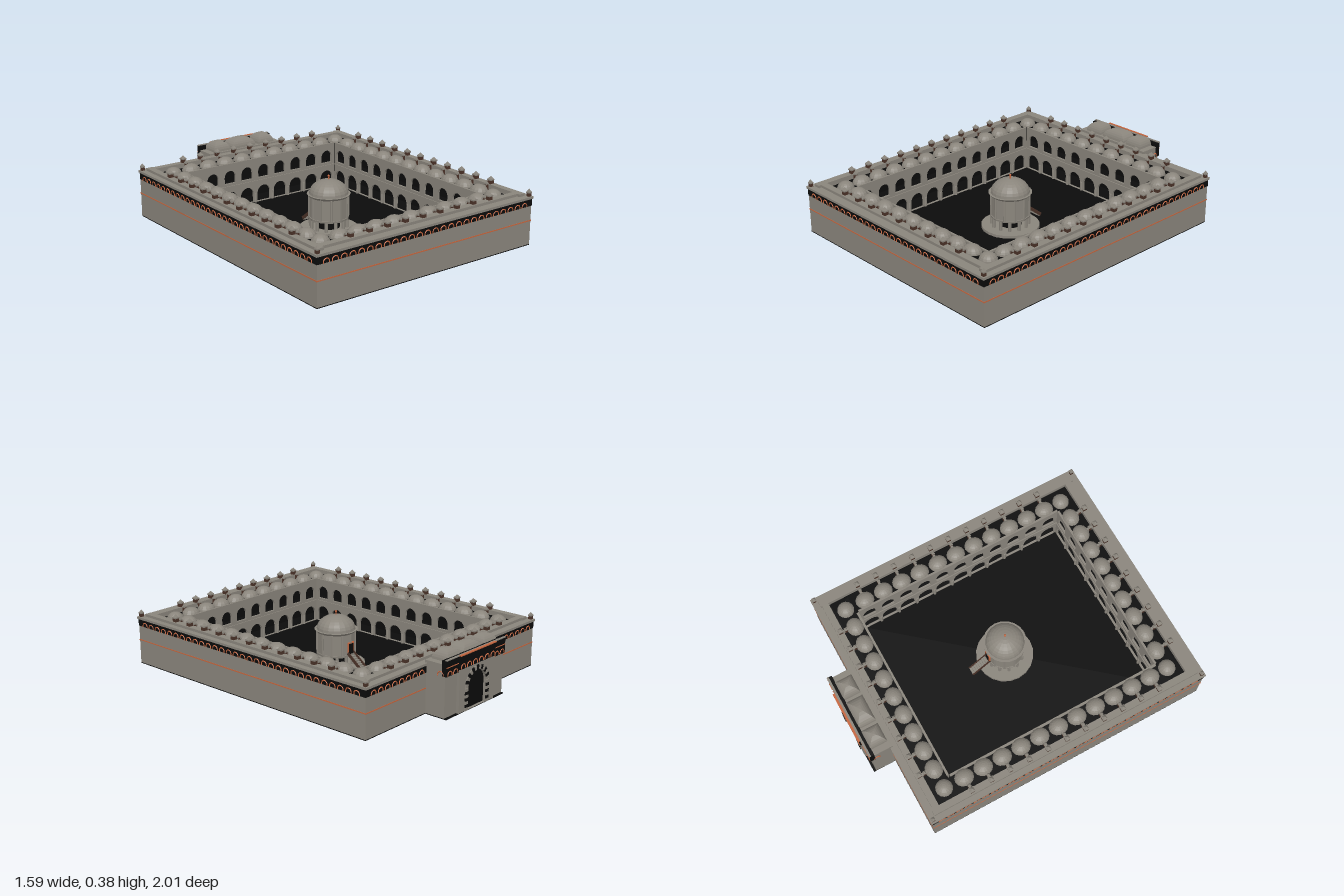
import * as THREE from 'three';

const mat = (name, color) => {
  const m = new THREE.MeshStandardMaterial({ color, flatShading: true });
  m.name = name;
  return m;
};

export function createModel() {
  const stone = mat('greyStone', 0x8a857c);
  const black = mat('blackStone', 0x0b0b0b);
  const brick = mat('orangeBrick', 0xc4663f);
  const brown = mat('darkBrown', 0x4a3228);

  const root = new THREE.Group();
  root.name = 'courtyardBuilding';
  const CZ = 0.08; // centre of the cloister in z

  const add = (parent, name, geo, material, x = 0, y = 0, z = 0) => {
    const m = new THREE.Mesh(geo, material);
    m.name = name;
    m.position.set(x, y, z);
    parent.add(m);
    return m;
  };
  // Box given by its ranges
  const box = (parent, name, material, x0, x1, y0, y1, z0, z1) =>
    add(parent, name, new THREE.BoxGeometry(x1 - x0, y1 - y0, z1 - z0), material,
      (x0 + x1) / 2, (y0 + y1) / 2, (z0 + z1) / 2);
  const group = (parent, name, x = 0, y = 0, z = 0, ry = 0) => {
    const g = new THREE.Group();
    g.name = name;
    g.position.set(x, y, z);
    g.rotation.y = ry;
    parent.add(g);
    return g;
  };
  // Round-headed outline, for openings and frames
  const archPath = (C, cx, w, y0, spring) => {
    const p = new C();
    p.moveTo(cx - w, y0);
    p.lineTo(cx + w, y0);
    p.lineTo(cx + w, spring);
    p.absarc(cx, spring, w, 0, Math.PI, false);
    p.lineTo(cx - w, y0);
    return p;
  };
  const extrude = (shape, depth) =>
    new THREE.ExtrudeGeometry(shape, { depth, bevelEnabled: false, curveSegments: 8 });

  const domeGeo = new THREE.SphereGeometry(1, 14, 6, 0, Math.PI * 2, 0, Math.PI / 2);
  const corbelGeo = new THREE.TorusGeometry(0.02, 0.0035, 4, 10, Math.PI * 1.2);
  corbelGeo.rotateZ(-Math.PI * 0.1);
  const capGeo = new THREE.ConeGeometry(1, 1, 4);
  capGeo.rotateY(Math.PI / 4);

  // Small lantern turret: dark shaft, stone slab and pointed cap
  const turret = (parent, x, z, base, top, w) => {
    const g = group(parent, 'turret', x, 0, z);
    box(g, 'turretShaft', brown, -w * 0.42, w * 0.42, base, top - 0.026, -w * 0.42, w * 0.42);
    box(g, 'turretSlab', stone, -w / 2, w / 2, top - 0.026, top - 0.018, -w / 2, w / 2);
    add(g, 'turretCap', capGeo, stone, 0, top - 0.009, 0).scale.set(w * 0.6, 0.018, w * 0.6);
  };

  // Ground slab
  box(root, 'floor', black, -0.785, 0.785, 0, 0.005, -0.84, 1);
  box(root, 'gateFloor', black, -0.275, 0.275, 0, 0.005, -0.985, -0.84);

  // One wing of the cloister; outside faces local +z
  const wing = (name, angle, half, dist, inHalf, inDist, bays, count, pitch, domeD, e, arches) => {
    const g = group(root, name, 0, 0, CZ, angle);
    const inner = dist - 0.07 - e;
    box(g, 'outerWall', stone, -half, half, 0.005, 0.288, inner, dist);
    box(g, 'frieze', black, -half - 0.002, half + 0.002, 0.244, 0.288, dist - 0.01, dist + 0.002);
    box(g, 'brickStripe', brick, -half - 0.002, half + 0.002, 0.15, 0.157, dist - 0.01, dist + 0.002);
    box(g, 'cornice', stone, -half - 0.008, half + 0.008, 0.288, 0.302, inner, dist + 0.008);
    box(g, 'parapet', stone, -half + 0.03, half - 0.03, 0.302, 0.318, inner, inner + 0.042);
    box(g, 'galleryBackWall', black, 0.07 - half, half - 0.07, 0.005, 0.28, inner - 0.004, inner);
    box(g, 'galleryFloor', black, -inHalf - 0.12, inHalf + 0.12, 0.128, 0.135, inDist + 0.012, inner);
    box(g, 'galleryRoof', black, -inHalf - 0.13, inHalf + 0.13, 0.28, 0.288, inDist + 0.012, inner);

    // Corbel arches of the frieze
    for (let i = 0; i < arches; i++) {
      const x = -half + 0.06 + i * (2 * half - 0.12) / (arches - 1);
      if (name === 'backWing' && Math.abs(x) < 0.29) continue;
      add(g, 'corbelArch', corbelGeo, brick, x, 0.25, dist + 0.003);
    }

    // Two-storey arcade towards the courtyard
    const wall = new THREE.Shape();
    wall.moveTo(-inHalf, 0.005);
    wall.lineTo(inHalf, 0.005);
    wall.lineTo(inHalf, 0.3);
    wall.lineTo(-inHalf, 0.3);
    const bay = 2 * inHalf / bays;
    for (let i = 0; i < bays; i++) {
      const cx = -inHalf + (i + 0.5) * bay;
      wall.holes.push(archPath(THREE.Path, cx, 0.05, 0.008, 0.062));
      wall.holes.push(archPath(THREE.Path, cx, 0.042, 0.168, 0.21));
    }
    add(g, 'arcade', extrude(wall, 0.014), stone, 0, 0, inDist);
    box(g, 'balconyLedge', stone, -inHalf, inHalf, 0.146, 0.152, inDist - 0.006, inDist);
    for (let i = 1; i < bays; i++)
      add(g, 'arcadeColumn', new THREE.CylinderGeometry(0.008, 0.01, 0.058, 6), stone,
        -inHalf + i * bay, 0.034, inDist);

    // Roof domes, turrets and their links to the parapet
    const corner = e > 0 ? 0 : -1;
    for (let k = -count; k <= count; k++) {
      const x = k * pitch;
      const isCorner = e > 0 && Math.abs(k) === count;
      add(g, 'roofDome', domeGeo, stone, x, 0.286, domeD).scale.set(isCorner ? 0.053 : 0.06, 0.046, 0.053);
      if (Math.abs(k) > count - 1 - corner) continue;
      if (isCorner) continue;
      turret(g, x, inner + 0.018, 0.31, 0.365, 0.032);
      turret(g, x, inner - 0.016, 0.288, 0.345, 0.02);
      box(g, 'turretLink', stone, x - 0.007, x + 0.007, 0.288, 0.314, inner - 0.04, inner);
    }
    // Corner turret
    turret(g, -half + 0.012, dist - 0.012, 0.3, 0.348, 0.024);
  };
  wing('frontWing', 0, 0.785, 0.92, 0.58, 0.697, 9, 5, 0.127, 0.752, 0.02, 26);
  wing('backWing', Math.PI, 0.785, 0.92, 0.58, 0.703, 9, 5, 0.127, 0.764, 0.01, 26);
  wing('leftWing', Math.PI / 2, 0.92, 0.785, 0.7, 0.58, 11, 5, 0.1265, 0.636, 0, 31);
  wing('rightWing', -Math.PI / 2, 0.92, 0.785, 0.7, 0.58, 11, 5, 0.1265, 0.636, 0, 31);

  // Gatehouse at the back; its outside faces local +z
  const gate = group(root, 'gatehouse', 0, 0, 0, Math.PI);
  box(gate, 'gateBody', stone, -0.275, 0.275, 0.005, 0.318, 0.83, 0.97);
  box(gate, 'gateRoof', black, -0.265, 0.265, 0.318, 0.322, 0.95, 0.972);
  box(gate, 'gateFrieze', black, -0.278, 0.278, 0.25, 0.342, 0.95, 0.981);
  box(gate, 'gateCoping', stone, -0.278, 0.278, 0.342, 0.347, 0.97, 0.984);
  for (const s of [-1, 1]) {
    for (let i = 0; i < 2; i++)
      add(gate, 'gateCorbelArch', corbelGeo, brick, s * (0.196 + i * 0.052), 0.258, 0.982);
    const side = add(gate, 'gateSideCorbelArch', corbelGeo, brick, s * 0.277, 0.255, 0.94);
    side.rotation.y = s * Math.PI / 2;
    box(gate, 'gateStripe', brick, Math.min(s * 0.165, s * 0.278), Math.max(s * 0.165, s * 0.278),
      0.3, 0.305, 0.975, 0.983);
  }
  // Projecting portal with a deep round-headed doorway
  const portal = new THREE.Shape();
  portal.moveTo(-0.165, 0.005);
  portal.lineTo(0.165, 0.005);
  portal.lineTo(0.165, 0.27);
  portal.lineTo(-0.165, 0.27);
  portal.holes.push(archPath(THREE.Path, 0, 0.085, 0.008, 0.14));
  add(gate, 'portal', extrude(portal, 0.02), stone, 0, 0, 0.968);
  add(gate, 'doorway', extrude(archPath(THREE.Shape, 0, 0.085, 0.008, 0.14), 0.003), black, 0, 0, 0.97);
  box(gate, 'portalFrieze', black, -0.167, 0.167, 0.265, 0.344, 0.965, 0.992);
  box(gate, 'portalBrickCoping', brick, -0.167, 0.167, 0.344, 0.35, 0.984, 0.998);
  for (let i = 0; i < 6; i++)
    add(gate, 'portalCorbelArch', corbelGeo, brick, -0.14 + i * 0.056, 0.275, 0.993);
  // Voussoirs of alternating colour around the doorway
  for (let i = 0; i < 15; i++) {
    const a = Math.PI * (i + 0.5) / 15;
    const v = add(gate, 'voussoir', new THREE.BoxGeometry(0.026, 0.019, 0.008), i % 2 ? black : stone,
      0.099 * Math.cos(a), 0.14 + 0.099 * Math.sin(a), 0.99);
    v.rotation.z = a;
  }
  for (const s of [-1, 1]) for (let i = 0; i < 7; i++)
    add(gate, 'jambBlock', new THREE.BoxGeometry(0.026, 0.018, 0.008), i % 2 ? black : stone,
      s * 0.099, 0.015 + i * 0.019, 0.99);
  // Four-sided vaults on the gatehouse roof
  const vaultGeo = new THREE.SphereGeometry(Math.SQRT2, 4, 7, 0, Math.PI * 2, 0, Math.PI / 2);
  vaultGeo.rotateY(Math.PI / 4);
  for (const [x, w] of [[-0.172, 0.062], [0, 0.09], [0.172, 0.062]])
    add(gate, 'gateVault', vaultGeo, stone, x, 0.318, 0.9).scale.set(w, 0.064 / Math.SQRT2, 0.057);

  // Domed pavilion in the courtyard
  const pav = group(root, 'pavilion', 0, 0, 0.075);
  const cyl = (name, r0, r1, y0, y1, n, m = stone, x = 0, z = 0) =>
    add(pav, name, new THREE.CylinderGeometry(r1, r0, y1 - y0, n), m, x, (y0 + y1) / 2, z);
  cyl('basin', 0.18, 0.18, 0.005, 0.022, 20);
  cyl('pavilionCore', 0.07, 0.07, 0.022, 0.085, 12, black);
  cyl('drum', 0.12, 0.12, 0.085, 0.228, 12);
  cyl('drumBase', 0.124, 0.126, 0.08, 0.092, 12);
  cyl('drumCornice', 0.122, 0.134, 0.222, 0.236, 20);
  for (let i = 0; i < 12; i++) {
    const a = (i + 0.5) / 12 * Math.PI * 2;
    cyl('pier', 0.011, 0.011, 0.022, 0.082, 6, stone, 0.112 * Math.sin(a), 0.112 * Math.cos(a));
    const p = i / 12 * Math.PI * 2;
    cyl('pilaster', 0.007, 0.007, 0.09, 0.224, 6, stone, 0.12 * Math.sin(p), 0.12 * Math.cos(p));
  }
  add(pav, 'pavilionDome', new THREE.SphereGeometry(0.12, 20, 8, 0, Math.PI * 2, 0, Math.PI / 2), stone,
    0, 0.234, 0).scale.y = 0.75;
  cyl('finialStem', 0.004, 0.003, 0.32, 0.35, 6, brick);
  add(pav, 'finialBall', new THREE.SphereGeometry(0.007, 8, 6), brick, 0, 0.345, 0);
  // Door and stairs
  box(pav, 'doorFrame', brick, -0.026, 0.026, 0.094, 0.172, -0.124, -0.116);
  box(pav, 'door', black, -0.019, 0.019, 0.094, 0.164, -0.127, -0.12);
  for (let i = 0; i < 9; i++) {
    const y = 0.015 + i * 0.0105;
    box(pav, 'step', stone, -0.024, 0.024, y - 0.012 < 0.005 ? 0.005 : y - 0.012, y,
      -0.238 + i * 0.0135, -0.238 + (i + 1) * 0.0135);
  }
  for (const s of [-1, 1]) {
    const rail = box(pav, 'stairSide', brown, s * 0.025 - 0.002, s * 0.025 + 0.002, 0.05, 0.07, -0.253, -0.103);
    rail.rotation.x = -Math.atan2(0.0105, 0.0135);
  }
  return root;
}
